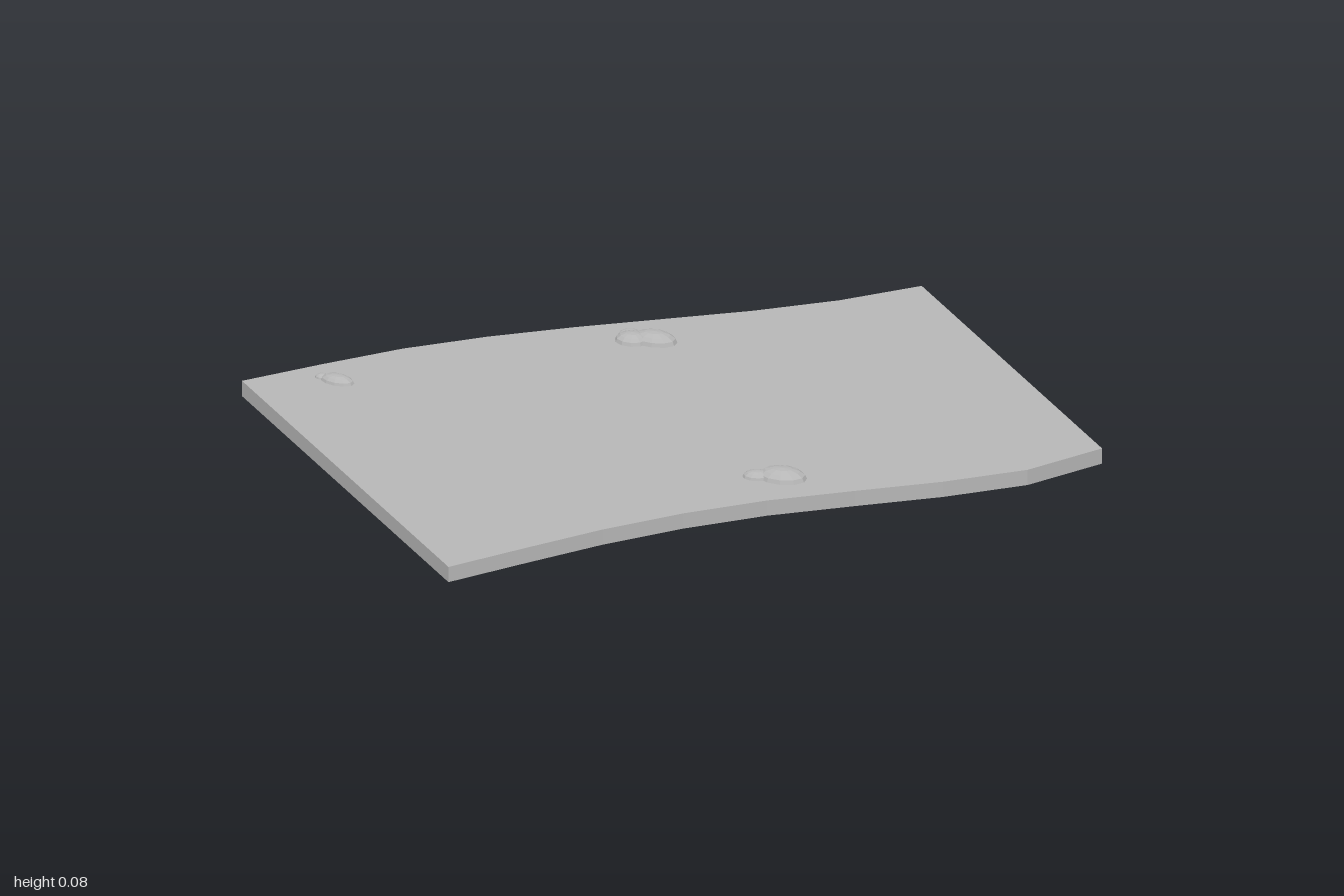
import * as THREE from 'three';

const TOP = 0.047;
// z of the wavy back and front edges, at even steps from x = -1 to x = 1
const BACK = [-0.735, -0.742, -0.742, -0.715, -0.67, -0.615, -0.56, -0.522, -0.513];
const FRONT = [0.645, 0.62, 0.598, 0.595, 0.615, 0.66, 0.708, 0.735, 0.692];

const toPoint = (z, i) => new THREE.Vector2(-1 + i * 0.25, z);

// Half-buried faceted stone, its long axis turned from +x towards +z
function stone(x, z, length, height, width, turn, material) {
  const geometry = new THREE.SphereGeometry(1, 11, 4, 0, Math.PI * 2, 0, Math.PI / 2).toNonIndexed();
  geometry.scale(length, height, width);
  geometry.computeVertexNormals();
  const mesh = new THREE.Mesh(geometry, material);
  mesh.name = 'stone';
  mesh.position.set(x, TOP, z);
  mesh.rotation.y = -turn;
  return mesh;
}

export function createModel() {
  const model = new THREE.Group();
  model.name = 'stonyGround';
  const ground = new THREE.MeshStandardMaterial({ color: 0xb6b6b6, side: THREE.DoubleSide });
  ground.name = 'groundGrey';
  const rock = new THREE.MeshStandardMaterial({ color: 0xb6b6b6 });
  rock.name = 'stoneGrey';

  const outline = [...FRONT.map(toPoint), ...BACK.map(toPoint).reverse()];

  // Top sheet
  const sheet = new THREE.ShapeGeometry(new THREE.Shape(outline.map(p => new THREE.Vector2(p.x, -p.y))));
  sheet.rotateX(-Math.PI / 2);
  sheet.translate(0, TOP, 0);
  const topSheet = new THREE.Mesh(sheet, ground);
  topSheet.name = 'groundTop';
  model.add(topSheet);

  // Rim walls around the open underside
  const corners = [];
  outline.forEach((a, i) => {
    const b = outline[(i + 1) % outline.length];
    corners.push(a.x, 0, a.y, b.x, 0, b.y, b.x, TOP, b.y);
    corners.push(a.x, 0, a.y, b.x, TOP, b.y, a.x, TOP, a.y);
  });
  const walls = new THREE.BufferGeometry();
  walls.setAttribute('position', new THREE.Float32BufferAttribute(corners, 3));
  walls.computeVertexNormals();
  const rim = new THREE.Mesh(walls, ground);
  rim.name = 'groundRim';
  model.add(rim);

  // Stone clusters: x, z, half length, height, half width, turn
  const clusters = {
    backLeftStones: [
      [-0.758, -0.62, 0.052, 0.021, 0.031, 0.95],
      [-0.785, -0.662, 0.021, 0.012, 0.017, 0.6],
    ],
    backStones: [
      [0.163, -0.493, 0.068, 0.031, 0.045, 0.8],
      [0.108, -0.52, 0.05, 0.027, 0.042, 0.7],
      [0.12, -0.56, 0.034, 0.016, 0.024, 0.5],
    ],
    frontStones: [
      [0.103, 0.492, 0.072, 0.031, 0.05, 0.75],
      [0.042, 0.458, 0.042, 0.02, 0.031, 0.5],
    ],
  };
  for (const [name, stones] of Object.entries(clusters)) {
    const cluster = new THREE.Group();
    cluster.name = name;
    stones.forEach(s => cluster.add(stone(...s, rock)));
    model.add(cluster);
  }
  return model;
}
